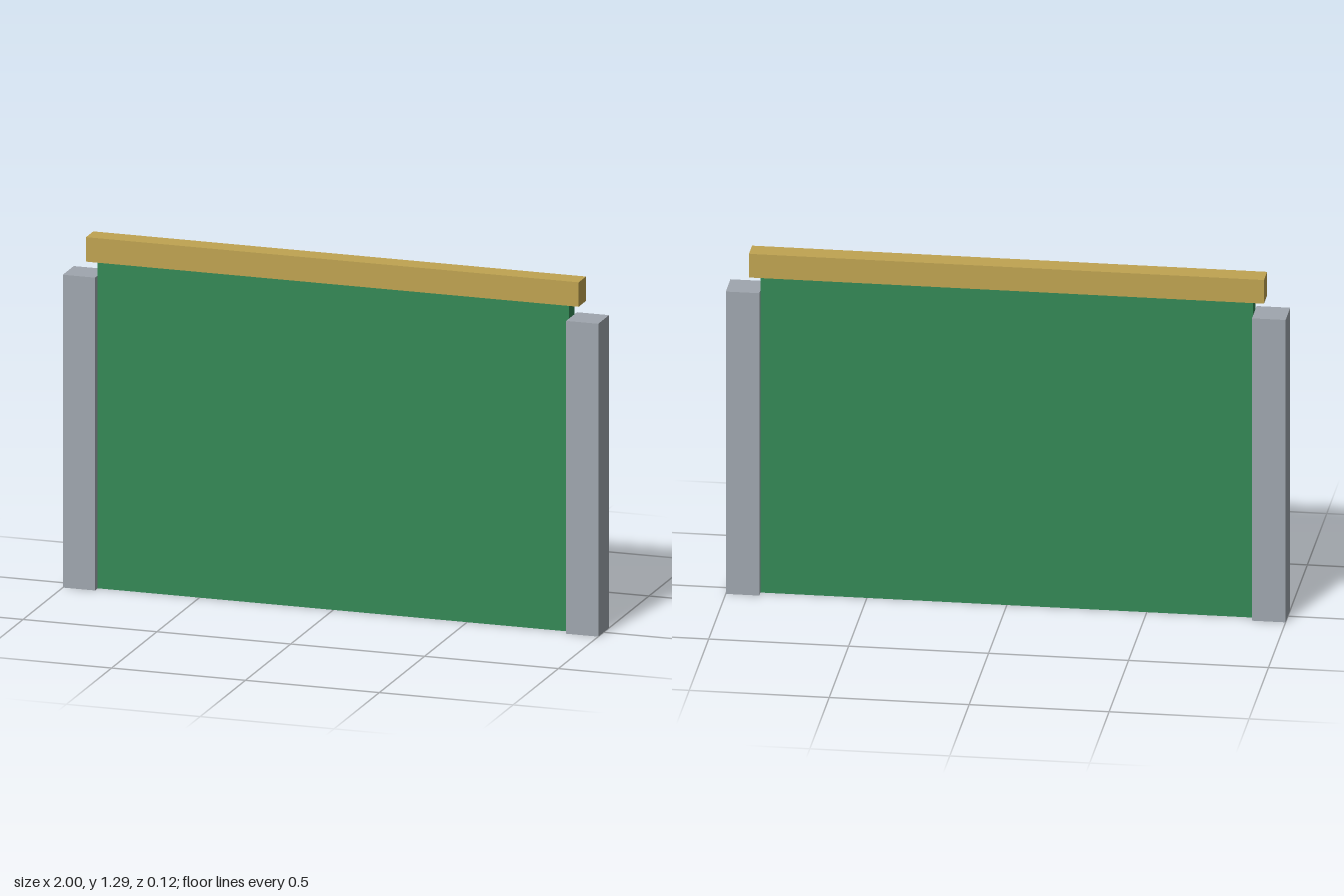
import * as THREE from 'three';

const material = (name, color) => {
  const m = new THREE.MeshStandardMaterial({ color });
  m.name = name;
  return m;
};

export function createModel() {
  const group = new THREE.Group();
  group.name = 'fencePanel';
  const grey = material('postGrey', 0x9fa6ae);
  const green = material('panelGreen', 0x348856);
  const tan = material('railTan', 0xbfa351);

  // Box placed by its centre x and its bottom y
  const addBox = (name, mat, [w, h, d], x, bottom) => {
    const mesh = new THREE.Mesh(new THREE.BoxGeometry(w, h, d), mat);
    mesh.name = name;
    mesh.position.set(x, bottom + h / 2, 0);
    group.add(mesh);
  };

  // Square posts at both ends
  for (const side of [-1, 1]) {
    addBox(side > 0 ? 'leftPost' : 'rightPost', grey, [0.12, 1.15, 0.12], side * 0.94, 0);
  }

  // Infill panel between the posts
  addBox('panel', green, [1.76, 1.2, 0.06], 0, 0);

  // Top rail, overhanging the panel
  addBox('topRail', tan, [1.84, 0.09, 0.08], 0, 1.2);

  return group;
}
